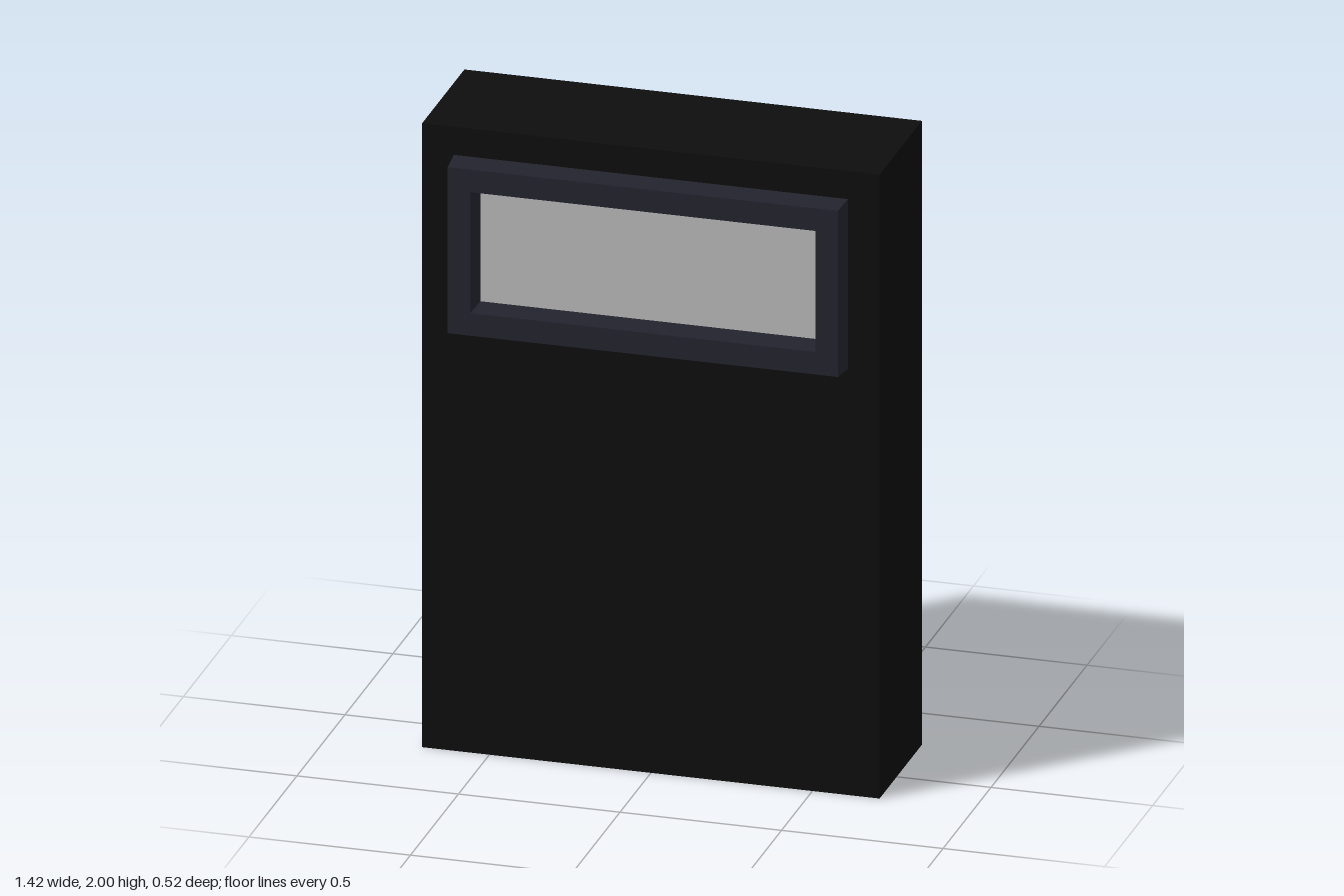
import * as THREE from 'three';

const CENTER_Y = 1.638;

// Rectangle loop around the frame centre, counter-clockwise from the front
const rectLoop = (w, h, z) =>
  [[-1, -1], [1, -1], [1, 1], [-1, 1]].map(([x, y]) => [x * w, CENTER_Y + y * h, z]);

// Joins successive rectangular loops with flat quads
function loftLoops(loops) {
  const pos = [];
  for (let i = 0; i < loops.length - 1; i++) {
    for (let j = 0; j < 4; j++) {
      const k = (j + 1) % 4;
      const a = loops[i][j], b = loops[i][k], c = loops[i + 1][k], d = loops[i + 1][j];
      pos.push(...a, ...b, ...c, ...a, ...c, ...d);
    }
  }
  const geo = new THREE.BufferGeometry();
  geo.setAttribute('position', new THREE.Float32BufferAttribute(pos, 3));
  geo.computeVertexNormals();
  return geo;
}

export function createModel() {
  const model = new THREE.Group();
  const black = new THREE.MeshStandardMaterial({ name: 'black casing', color: 0x0d0d0d, side: THREE.DoubleSide });
  const slate = new THREE.MeshStandardMaterial({ name: 'dark slate', color: 0x22222d, side: THREE.DoubleSide });
  const grey = new THREE.MeshStandardMaterial({ name: 'screen grey', color: 0xb6b6b6 });

  const add = (name, geo, mat) => {
    const mesh = new THREE.Mesh(geo, mat);
    mesh.name = name;
    model.add(mesh);
    return mesh;
  };

  // Thin-walled casing, open at the back (the box's last face is dropped)
  const shell = new THREE.BoxGeometry(1.416, 2, 0.44);
  shell.setIndex(Array.from(shell.index.array).slice(0, 30));
  shell.clearGroups();
  add('casing', shell, black).position.set(0, 1, -0.042);

  // Raised frame with slightly tapered outer and inner walls
  add('screenFrame', loftLoops([
    rectLoop(0.61, 0.272, 0.178),
    rectLoop(0.604, 0.266, 0.262),
    rectLoop(0.534, 0.194, 0.262),
    rectLoop(0.526, 0.186, 0.178),
  ]), slate);

  // Screen recessed inside the frame
  add('screen', new THREE.PlaneGeometry(1.052, 0.372), grey).position.set(0, CENTER_Y, 0.182);

  return model;
}
